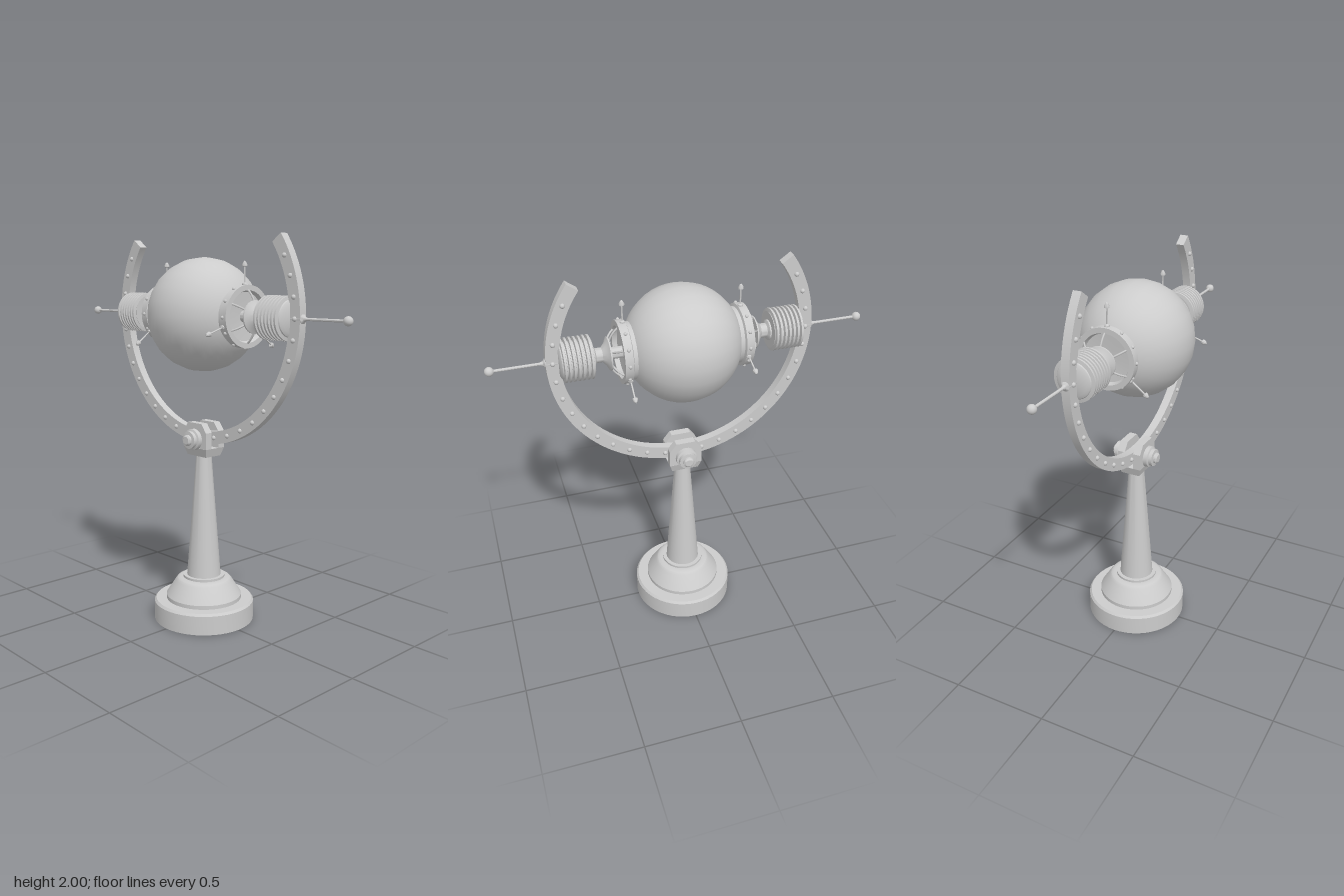
import * as THREE from 'three';
import { toCreasedNormals } from 'three/addons/utils/BufferGeometryUtils.js';

const material = new THREE.MeshStandardMaterial({ color: 0xcccccc, side: THREE.DoubleSide });
const CENTER_Y = 1.615;

function add(parent, name, geometry, x = 0, y = 0, z = 0) {
  const mesh = new THREE.Mesh(geometry, material);
  mesh.name = name;
  mesh.position.set(x, y, z);
  parent.add(mesh);
  return mesh;
}

// Turned part: profile of [radius, height] pairs, sharp where the profile bends
function turned(profile, segments = 40) {
  const points = profile.map(([r, h]) => new THREE.Vector2(r, h));
  return toCreasedNormals(new THREE.LatheGeometry(points, segments), 0.5);
}
const turnedX = (profile, segments) => turned(profile, segments).rotateZ(-Math.PI / 2);
const turnedZ = (profile, segments) => turned(profile, segments).rotateX(Math.PI / 2);

function createStand(model) {
  add(model, 'base', turned([
    [0, 0], [0.265, 0], [0.265, 0.1], [0.255, 0.112], [0.2, 0.112], [0.2, 0.132],
    [0.15, 0.21], [0.14, 0.222], [0.125, 0.228], [0.11, 0.228], [0.11, 0.24], [0, 0.24],
  ], 48));
  add(model, 'column', turned([[0, 0.23], [0.09, 0.235], [0.04, 0.895], [0, 0.895]], 32));

  // Fork: tapered foot, two cheeks and a stepped bolt on each side
  const foot = new THREE.BoxGeometry(0.17, 0.045, 0.13);
  const p = foot.attributes.position;
  for (let i = 0; i < p.count; i++) {
    if (p.getY(i) < 0) p.setXYZ(i, p.getX(i) * 0.82, p.getY(i), p.getZ(i) * 0.78);
  }
  foot.computeVertexNormals();
  add(model, 'forkFoot', foot, 0, 0.9125, 0);

  const outline = new THREE.Shape([
    [-0.085, 0.935], [0.085, 0.935], [0.085, 1.02], [0.05, 1.065], [-0.05, 1.065], [-0.085, 1.02],
  ].map(([x, y]) => new THREE.Vector2(x, y)));
  for (const side of [1, -1]) {
    const cheek = new THREE.ExtrudeGeometry(outline, { depth: 0.04, bevelEnabled: false });
    add(model, 'forkCheek', cheek, 0, 0, side > 0 ? 0.024 : -0.064);
    const bolt = add(model, 'pivotBolt', turnedZ([
      [0, 0], [0.055, 0], [0.055, 0.022], [0.045, 0.026], [0.045, 0.044],
      [0.028, 0.046], [0.028, 0.056], [0.02, 0.063], [0, 0.063],
    ], 24), 0, 0.98, side * 0.064);
    if (side < 0) bolt.rotation.y = Math.PI;
  }
}

function createArc(model) {
  const arc = new THREE.Group();
  arc.name = 'rivetedArc';
  arc.position.y = CENTER_Y;
  model.add(arc);
  const end = THREE.MathUtils.degToRad(35.7);
  const shape = new THREE.Shape();
  shape.absarc(0, 0, 0.66, -Math.PI - end, end, false);
  shape.absarc(0, 0, 0.595, end, -Math.PI - end, true);
  const band = new THREE.ExtrudeGeometry(shape, { depth: 0.042, bevelEnabled: false, curveSegments: 64 });
  add(arc, 'arcBand', toCreasedNormals(band, 0.5), 0, 0, -0.021);
  // Rivets every nine degrees on both faces
  const rivet = new THREE.SphereGeometry(0.012, 10, 8);
  for (let deg = -207; deg <= 27; deg += 9) {
    const a = THREE.MathUtils.degToRad(deg);
    for (const z of [0.021, -0.021]) {
      add(arc, 'arcRivet', rivet, 0.628 * Math.cos(a), 0.628 * Math.sin(a), z);
    }
  }
}

// One end of the horizontal axle, built along +x
function createAxleEnd(name) {
  const end = new THREE.Group();
  end.name = name;

  add(end, 'collar', turnedX([
    [0.13, 0.235], [0.138, 0.24], [0.138, 0.27], [0.152, 0.275], [0.152, 0.315],
    [0.126, 0.315], [0.118, 0.292], [0.03, 0.285], [0, 0.285],
  ]));
  add(end, 'neck', turnedX([
    [0.028, 0.28], [0.028, 0.355], [0.08, 0.357], [0.08, 0.364], [0.055, 0.376], [0.035, 0.394],
    [0.035, 0.425], [0.05, 0.432], [0.05, 0.45],
  ], 32));

  // Finned insulator
  const fins = [[0, 0.44], [0.09, 0.44]];
  const count = 7;
  for (let i = 0; i < count; i++) {
    const x = 0.444 + i * 0.0212;
    fins.push([0.088, x], [0.105, x + 0.003], [0.105, x + 0.013], [0.088, x + 0.016]);
  }
  fins.push([0.085, 0.592], [0.07, 0.6], [0, 0.6]);
  add(end, 'finnedInsulator', turnedX(fins));

  // Rod through the arc, with its washer and ball
  add(end, 'rod', turnedX([
    [0, 0.59], [0.022, 0.59], [0.022, 0.662], [0.012, 0.67], [0.007, 0.685], [0.007, 0.9], [0, 0.9],
  ], 16));
  add(end, 'rodBall', new THREE.SphereGeometry(0.022, 20, 14), 0.915, 0, 0);

  // Curved struts between collar and neck
  const strutPath = new THREE.QuadraticBezierCurve3(
    new THREE.Vector3(0.308, 0.13, 0), new THREE.Vector3(0.35, 0.1, 0), new THREE.Vector3(0.362, 0.045, 0));
  const strut = new THREE.TubeGeometry(strutPath, 10, 0.005, 6);
  for (let i = 0; i < 6; i++) add(end, 'strut', strut).rotation.x = (i * Math.PI) / 3;

  // Small studs around the collar
  const stud = new THREE.SphereGeometry(0.009, 8, 6);
  for (let i = 0; i < 12; i++) {
    const a = (i * Math.PI) / 6;
    add(end, 'collarStud', stud, 0.293, 0.152 * Math.cos(a), 0.152 * Math.sin(a));
  }

  // Three radial pins with pointed tips
  const pin = turned([
    [0, 0.14], [0.012, 0.14], [0.012, 0.158], [0.004, 0.163], [0.004, 0.238],
    [0.013, 0.24], [0.013, 0.247], [0.007, 0.26], [0, 0.265],
  ], 10);
  for (const deg of [0, 108, 233]) {
    add(end, 'radialPin', pin, 0.288, 0, 0).rotation.x = THREE.MathUtils.degToRad(deg);
  }
  end.position.y = CENTER_Y;
  return end;
}

export function createModel() {
  const model = new THREE.Group();
  model.name = 'globeOnStand';
  createStand(model);
  createArc(model);
  add(model, 'globe', new THREE.SphereGeometry(0.287, 24, 24).rotateZ(Math.PI / 2), 0, CENTER_Y, 0);
  const left = createAxleEnd('leftAxleEnd');
  const right = createAxleEnd('rightAxleEnd');
  right.rotation.y = Math.PI;
  model.add(left, right);
  return model;
}
